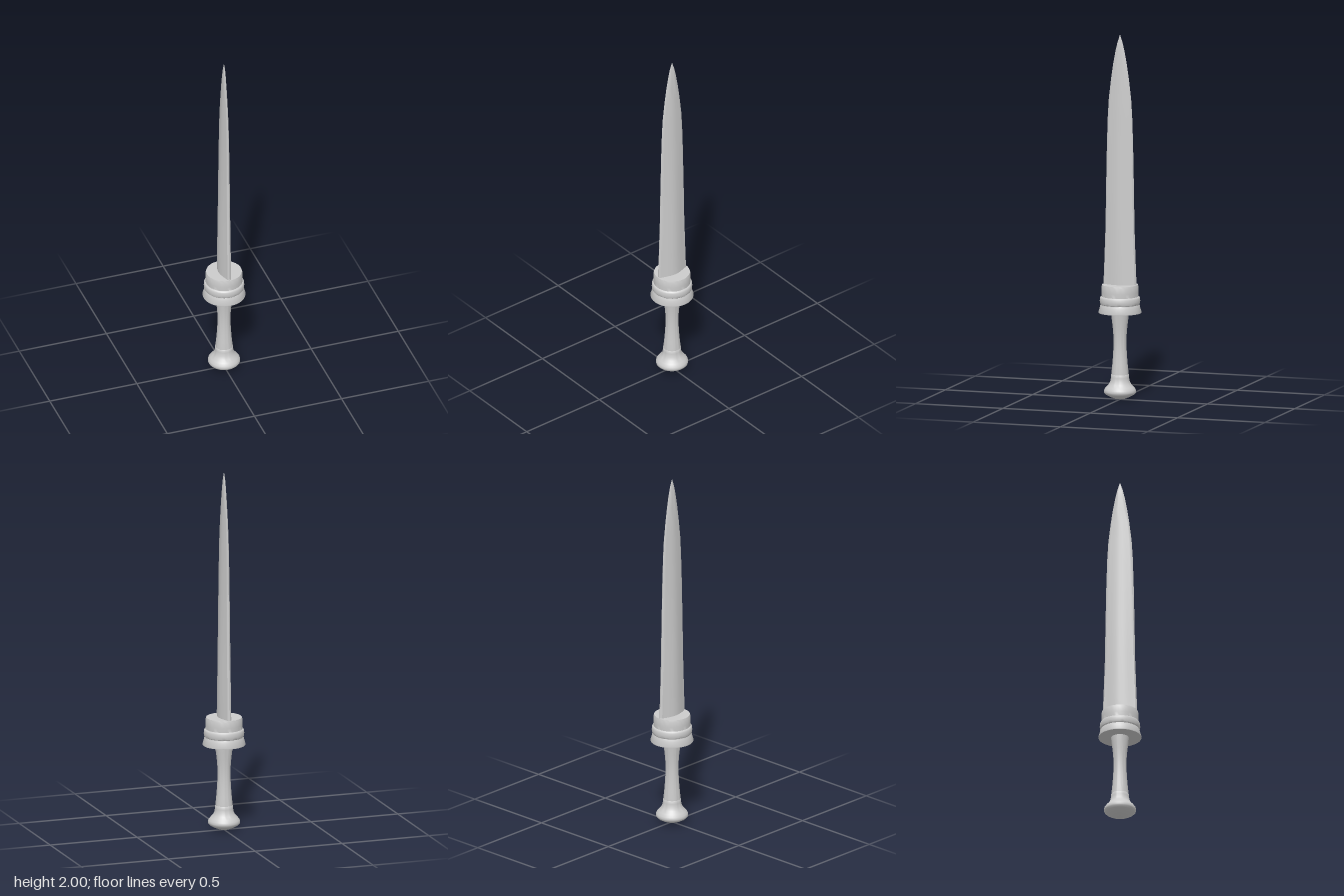
import * as THREE from 'three';
import { toCreasedNormals } from 'three/addons/utils/BufferGeometryUtils.js';

const material = new THREE.MeshStandardMaterial({ color: 0xcccccc });

function addMesh(group, name, geometry, crease) {
  const mesh = new THREE.Mesh(toCreasedNormals(geometry, crease), material);
  mesh.name = name;
  group.add(mesh);
}

// Turned part from [radius, height] pairs, listed bottom to top
function turned(points) {
  return new THREE.LatheGeometry(points.map(([r, y]) => new THREE.Vector2(r, y)), 40);
}

// Blade lofted from [height, half thickness, half width] stations
function bladeGeometry() {
  const stations = [
    [0.6, 0.033, 0.096], [0.75, 0.032, 0.09], [0.95, 0.03, 0.083], [1.15, 0.026, 0.08],
    [1.4, 0.021, 0.075], [1.55, 0.018, 0.07], [1.65, 0.016, 0.064], [1.76, 0.013, 0.051],
    [1.84, 0.011, 0.039], [1.91, 0.009, 0.026], [1.96, 0.006, 0.014], [2, 0.0003, 0.0005],
  ];
  // Half section: thickness fraction against width fraction, thick midrib to thin edge
  const side = [[0.32, 0.93], [0.45, 0.78], [0.68, 0.55], [0.92, 0.25], [1, 0]];
  const plusX = [...side, ...side.slice(0, -1).reverse().map(([x, z]) => [x, -z])];
  const ring = [[0, 1], ...plusX, [0, -1], ...plusX.map(([x, z]) => [-x, -z])];
  const n = ring.length, positions = [], indices = [];
  for (const [y, t, w] of stations) {
    for (const [x, z] of ring) positions.push(x * t, y, z * w);
  }
  for (let s = 0; s < stations.length - 1; s++) {
    for (let j = 0; j < n; j++) {
      const a = s * n + j, b = s * n + (j + 1) % n;
      indices.push(a, b, a + n, b, b + n, a + n);
    }
  }
  const geometry = new THREE.BufferGeometry();
  geometry.setAttribute('position', new THREE.Float32BufferAttribute(positions, 3));
  geometry.setIndex(indices);
  return geometry;
}

export function createModel() {
  const group = new THREE.Group();
  group.name = 'shortSword';

  addMesh(group, 'blade', bladeGeometry(), 0.7);

  // Stepped round guard with two grooves
  addMesh(group, 'guard', turned([
    [0, 0.476], [0.116, 0.476], [0.117, 0.481], [0.109, 0.507], [0.107, 0.517], [0.104, 0.522],
    [0.108, 0.527], [0.11, 0.54], [0.109, 0.556], [0.106, 0.563],
    [0.1, 0.566], [0.101, 0.59], [0.1, 0.62], [0.097, 0.63], [0, 0.63],
  ]), 0.8);

  // Waisted grip
  addMesh(group, 'grip', turned([
    [0.047, 0.13], [0.046, 0.15], [0.042, 0.19], [0.038, 0.24], [0.035, 0.3],
    [0.036, 0.35], [0.04, 0.4], [0.045, 0.44], [0.049, 0.48],
  ]), 0.8);

  // Flared pommel
  addMesh(group, 'pommel', turned([
    [0, 0], [0.03, 0.005], [0.058, 0.017], [0.078, 0.028], [0.086, 0.036], [0.088, 0.045],
    [0.085, 0.056], [0.075, 0.069], [0.061, 0.084], [0.053, 0.1], [0.049, 0.12],
    [0.049, 0.135], [0.045, 0.14],
  ]), 0.8);

  return group;
}
